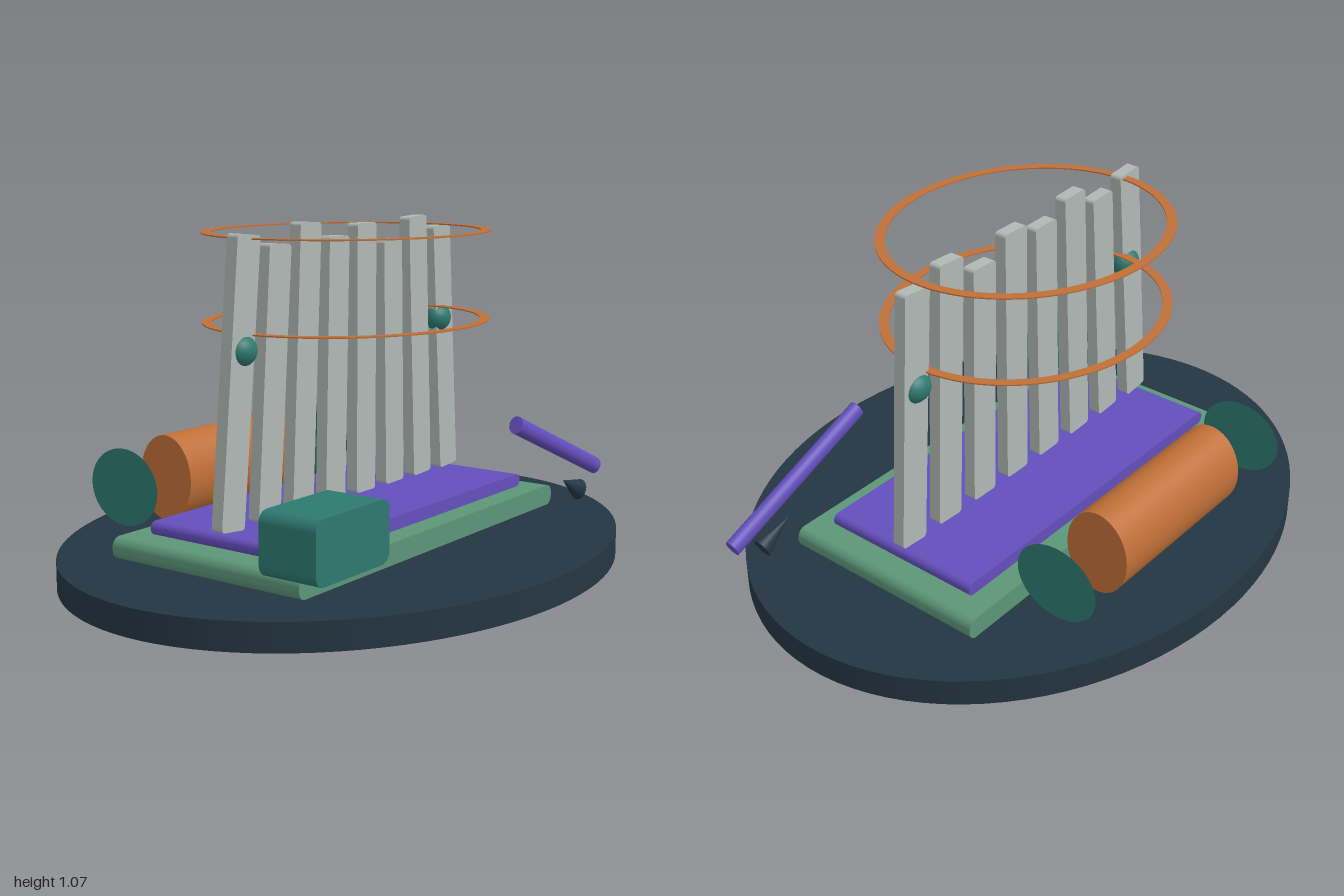
import * as THREE from 'three';

const material = (name, color, side = THREE.FrontSide) => {
  const m = new THREE.MeshStandardMaterial({ color, side });
  m.name = name;
  return m;
};

// Box whose outline is rounded in x/y and straight along z, centred on the origin
function roundedBoard(w, h, d, r) {
  const x = w / 2, y = h / 2, s = new THREE.Shape();
  s.moveTo(-x + r, -y);
  s.lineTo(x - r, -y);
  s.absarc(x - r, -y + r, r, -Math.PI / 2, 0);
  s.absarc(x - r, y - r, r, 0, Math.PI / 2);
  s.absarc(-x + r, y - r, r, Math.PI / 2, Math.PI);
  s.absarc(-x + r, -y + r, r, Math.PI, Math.PI * 1.5);
  return new THREE.ExtrudeGeometry(s, { depth: d, bevelEnabled: false, curveSegments: 6 })
    .translate(0, 0, -d / 2);
}

// Flat oval ring lying in the ground plane
function ovalRing(rx, rz, width, thickness) {
  const s = new THREE.Shape().absellipse(0, 0, rx, rz, 0, Math.PI * 2);
  s.holes.push(new THREE.Path().absellipse(0, 0, rx - width, rz - width, 0, Math.PI * 2, true));
  return new THREE.ExtrudeGeometry(s, { depth: thickness, bevelEnabled: false, curveSegments: 64 })
    .translate(0, 0, -thickness / 2).rotateX(-Math.PI / 2);
}

export function createModel() {
  const group = new THREE.Group();
  group.name = 'slattedStand';
  const slate = material('darkSlate', 0x243643);
  const green = material('sageGreen', 0x5c9678);
  const purple = material('violet', 0x634fbb);
  const grey = material('paleGrey', 0xb0b8b4);
  const copper = material('copper', 0xc06f38);
  const teal = material('teal', 0x2d796f);
  const tealDisc = material('tealTwoSided', 0x2d796f, THREE.DoubleSide);

  const add = (name, geometry, mat, x, y, z) => {
    const mesh = new THREE.Mesh(geometry, mat);
    mesh.name = name;
    mesh.position.set(x, y, z);
    group.add(mesh);
    return mesh;
  };

  // Oval base with two stacked boards
  add('base', new THREE.CylinderGeometry(1, 1, 0.085, 96).scale(1, 1, 0.8), slate, 0, 0.0425, 0);
  add('lowerBoard', roundedBoard(1.39, 0.068, 0.7, 0.03), green, 0, 0.118, 0);
  add('upperBoard', roundedBoard(1.22, 0.042, 0.55, 0.02), purple, 0, 0.173, 0);

  // Row of slats fanning inwards, with uneven tops
  const tops = [1.05, 1.015, 1.07, 1.022, 1.055, 0.996, 1.065, 1.03];
  tops.forEach((top, i) => {
    const slat = add('slat', roundedBoard(0.1, top - 0.2, 0.04, 0.012), grey,
      -0.535 + i * 0.1525, (top + 0.2) / 2, 0);
    slat.rotation.z = -0.1 + i * 0.0242;
  });

  // Thin oval hoops around the slats
  for (const y of [0.76, 1.034]) {
    add('hoop', ovalRing(0.485, 0.422, 0.03, 0.004), copper, 0, y, 0);
  }

  // Knobs on the outer slats and loose discs at either end of the roll
  for (const side of [-1, 1]) {
    add('knob', new THREE.SphereGeometry(1, 24, 16).scale(0.053, 0.047, 0.044), teal,
      side * 0.512, 0.717, 0);
    add('endDisc', new THREE.CircleGeometry(1, 48).scale(0.14, 0.122, 1).rotateY(Math.PI / 2),
      tealDisc, side * 0.49, 0.245, -0.5);
  }

  // Oval roll lying behind the slats
  add('roll', new THREE.CylinderGeometry(1, 1, 0.6, 48).rotateZ(Math.PI / 2).scale(1, 0.139, 0.108),
    copper, 0, 0.24, -0.503);

  // Block at the front right
  add('block', roundedBoard(0.33, 0.182, 0.19, 0.035), teal, -0.643, 0.262, 0.4);

  // Slanted rod and its pointed tip
  const rod = add('rod', new THREE.CylinderGeometry(0.029, 0.029, 0.595, 24).scale(1, 1, 0.83),
    purple, 0.6375, 0.299, 0.4);
  rod.rotation.z = Math.PI / 2 - 0.392;
  const tip = add('tip', new THREE.ConeGeometry(0.036, 0.126, 24).scale(1, 1, 0.8),
    slate, 0.743, 0.146, 0.4);
  tip.rotation.z = Math.PI / 2 - 0.43;

  return group;
}
